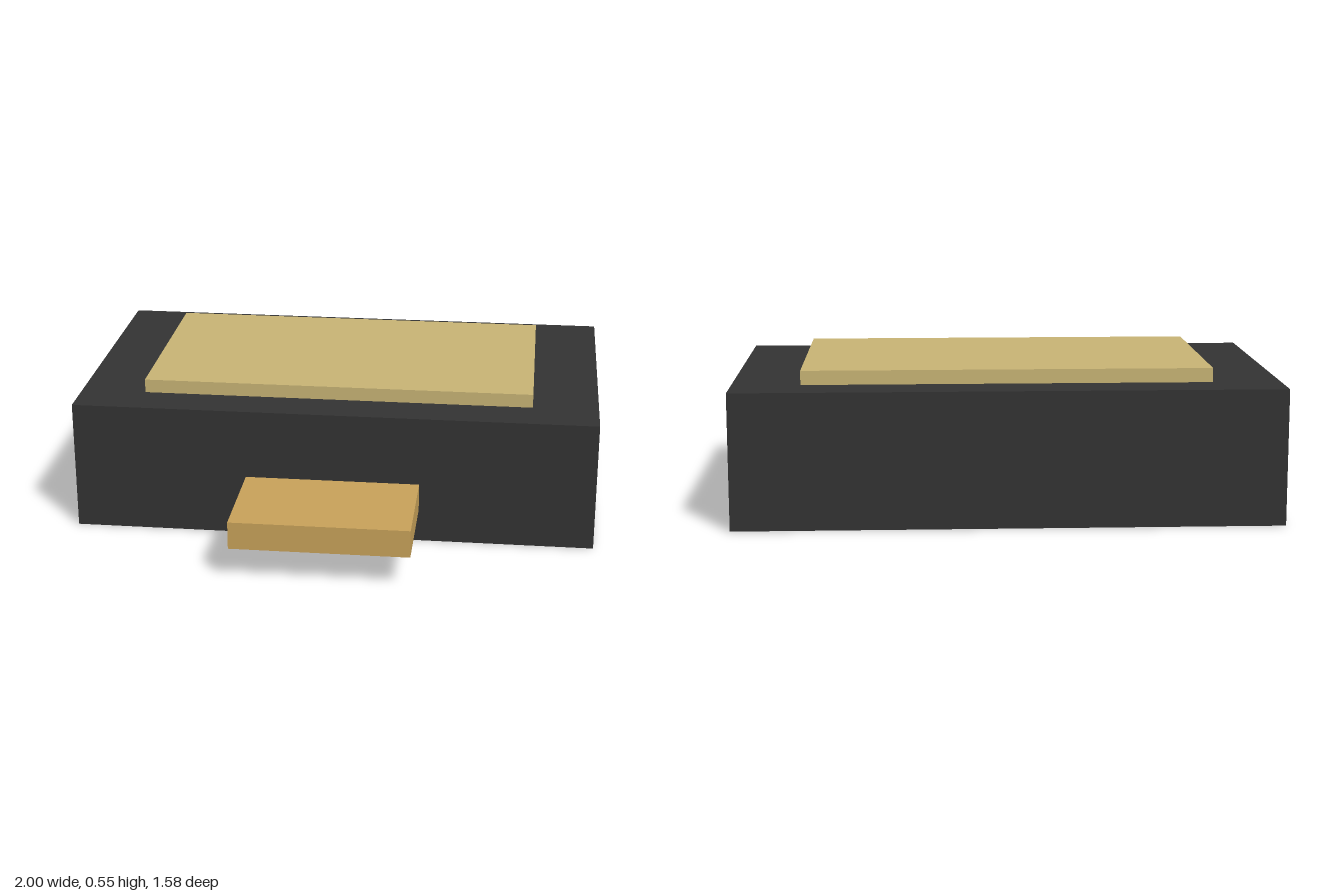
import * as THREE from 'three';

const material = (name, color) => {
  const m = new THREE.MeshStandardMaterial({ color });
  m.name = name;
  return m;
};

// Box given by its lower and upper corners
function block(name, mat, [x0, y0, z0], [x1, y1, z1]) {
  const mesh = new THREE.Mesh(new THREE.BoxGeometry(x1 - x0, y1 - y0, z1 - z0), mat);
  mesh.position.set((x0 + x1) / 2, (y0 + y1) / 2, (z0 + z1) / 2);
  mesh.name = name;
  return mesh;
}

export function createModel() {
  const charcoal = material('charcoal', 0x333333);
  const paleGold = material('pale gold', 0xc8b475);
  const amber = material('amber', 0xc8a25a);

  const model = new THREE.Group();
  model.name = 'boxWithTray';
  model.add(
    // Main housing
    block('body', charcoal, [-1, 0, -0.792], [1, 0.5, 0.375]),
    // Raised plate centred on the top
    block('topPanel', paleGold, [-0.75, 0.5, -0.625], [0.75, 0.552, 0.208]),
    // Tray standing out of the front
    block('frontTray', amber, [-0.333, 0.128, 0.375], [0.333, 0.233, 0.792])
  );
  return model;
}
